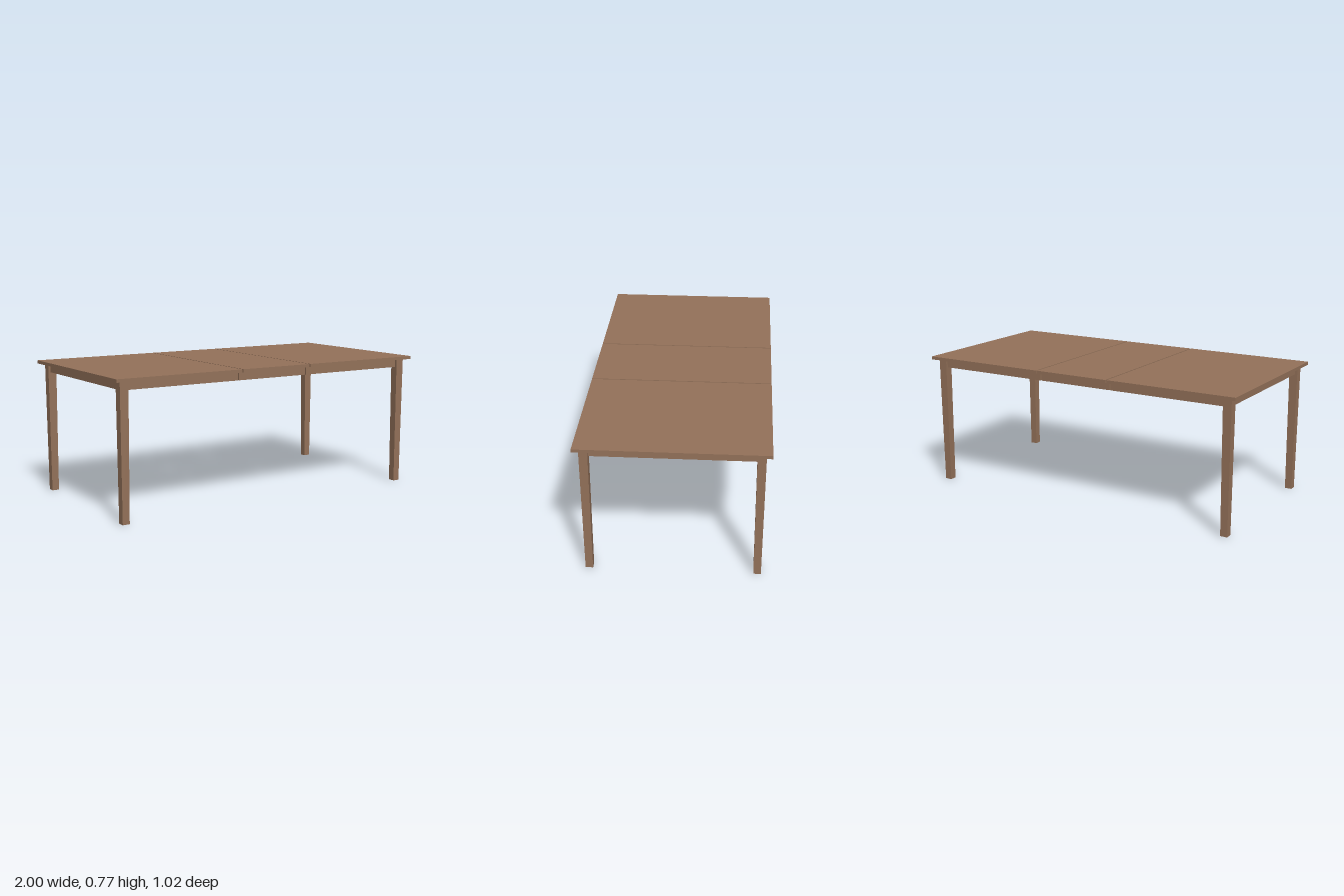
import * as THREE from 'three';

export function createModel() {
  const table = new THREE.Group();
  table.name = 'extendingTable';
  const wood = new THREE.MeshStandardMaterial({ color: 0x94725a });
  wood.name = 'brown wood';

  // Box given by its lower and upper corners
  function slab(name, x0, x1, y0, y1, z0, z1) {
    const mesh = new THREE.Mesh(new THREE.BoxGeometry(x1 - x0, y1 - y0, z1 - z0), wood);
    mesh.position.set((x0 + x1) / 2, (y0 + y1) / 2, (z0 + z1) / 2);
    mesh.name = name;
    table.add(mesh);
  }

  // Top boards: two ends and a centre leaf, with narrow joints
  const joint = 0.23, gap = 0.004;
  const spans = [
    ['right', -1, -joint - gap],
    ['leaf', -joint + gap, joint - gap],
    ['left', joint + gap, 1],
  ];
  for (const [name, x0, x1] of spans) {
    slab(name + 'TopBoard', x0, x1, 0.757, 0.775, -0.51, 0.51);
  }

  // Long aprons, split at the same joints and ending at the legs
  const apronLow = 0.709, apronHigh = 0.753;
  for (const [name, x0, x1] of spans) {
    const a = Math.max(x0, -0.92), b = Math.min(x1, 0.92);
    slab(name + 'FrontApron', a, b, apronLow, apronHigh, 0.444, 0.466);
    slab(name + 'BackApron', a, b, apronLow, apronHigh, -0.466, -0.444);
  }

  // Short end aprons
  slab('leftEndApron', 0.93, 0.952, apronLow, apronHigh, -0.435, 0.435);
  slab('rightEndApron', -0.952, -0.93, apronLow, apronHigh, -0.435, 0.435);

  // Square legs that taper slightly towards the floor
  const legGeometry = new THREE.BoxGeometry(0.05, 0.757, 0.047);
  const p = legGeometry.attributes.position;
  for (let i = 0; i < p.count; i++) {
    if (p.getY(i) < 0) {
      p.setX(i, p.getX(i) * 0.82);
      p.setZ(i, p.getZ(i) * 0.87);
    }
  }
  legGeometry.computeVertexNormals();
  for (const sx of [-1, 1]) {
    for (const sz of [-1, 1]) {
      const leg = new THREE.Mesh(legGeometry, wood);
      leg.name = (sz > 0 ? 'front' : 'back') + (sx > 0 ? 'Left' : 'Right') + 'Leg';
      leg.position.set(sx * 0.941, 0.3785, sz * 0.456);
      table.add(leg);
    }
  }
  return table;
}
